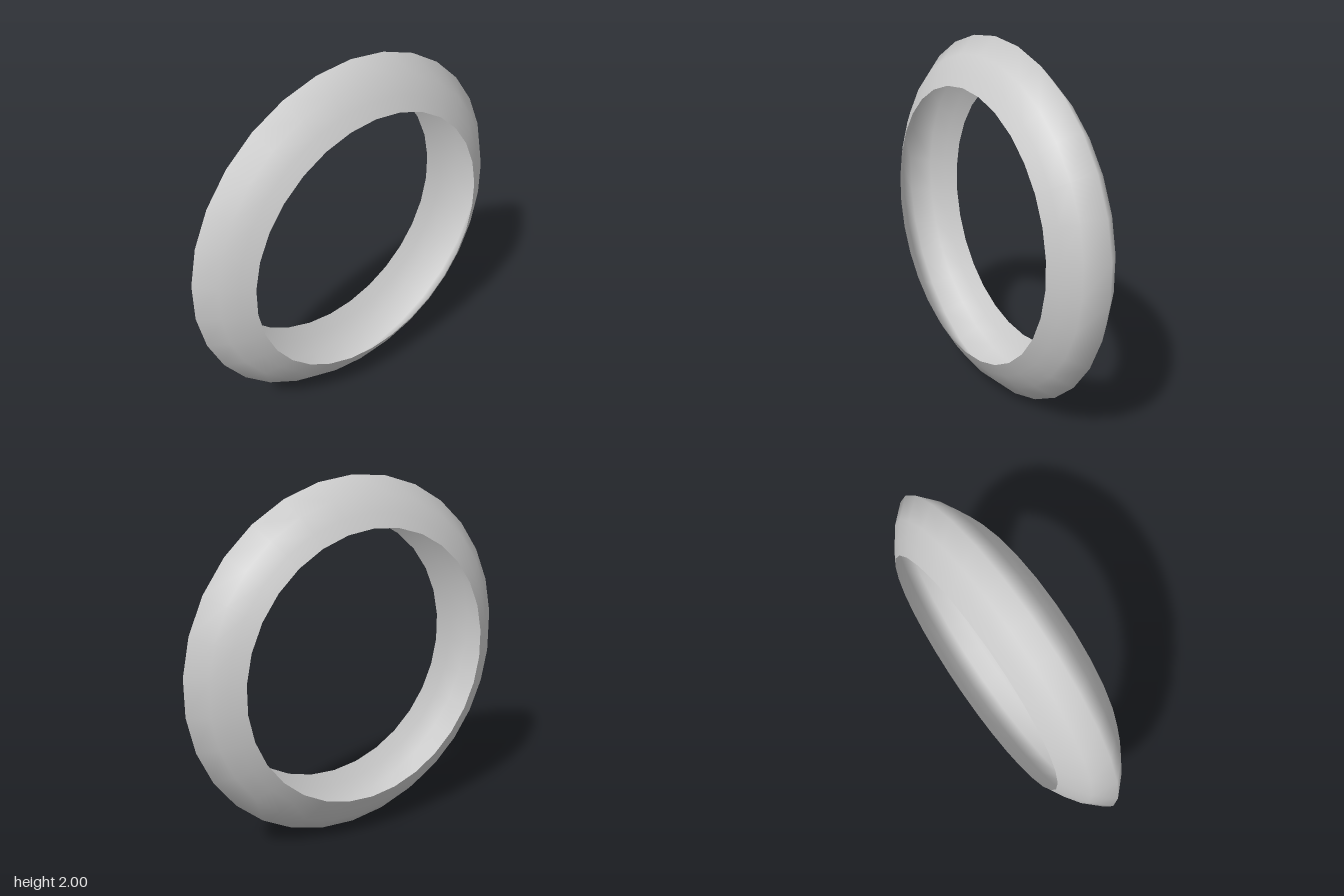
import * as THREE from 'three';

export function createModel() {
  const group = new THREE.Group();
  group.name = 'ring';

  // Half of the gently bowed cross-section: [distance from mid-plane, radius]
  const half = [[0.195, 0.755], [0.153, 0.828], [0.095, 0.91], [0, 1]];
  const profile = [
    ...half.map(([d, r]) => new THREE.Vector2(r, -d)),
    ...half.slice(0, -1).reverse().map(([d, r]) => new THREE.Vector2(r, d)),
  ];

  // Open shell revolved in 30 steps, then turned so its axis lies along x
  const geometry = new THREE.LatheGeometry(profile, 30);
  geometry.rotateX(-Math.PI / 2);
  geometry.rotateY(Math.PI / 2);
  geometry.translate(0, 1, 0);

  const material = new THREE.MeshStandardMaterial({ color: 0xcccccc, side: THREE.DoubleSide });
  const shell = new THREE.Mesh(geometry, material);
  shell.name = 'ringShell';
  group.add(shell);
  return group;
}
